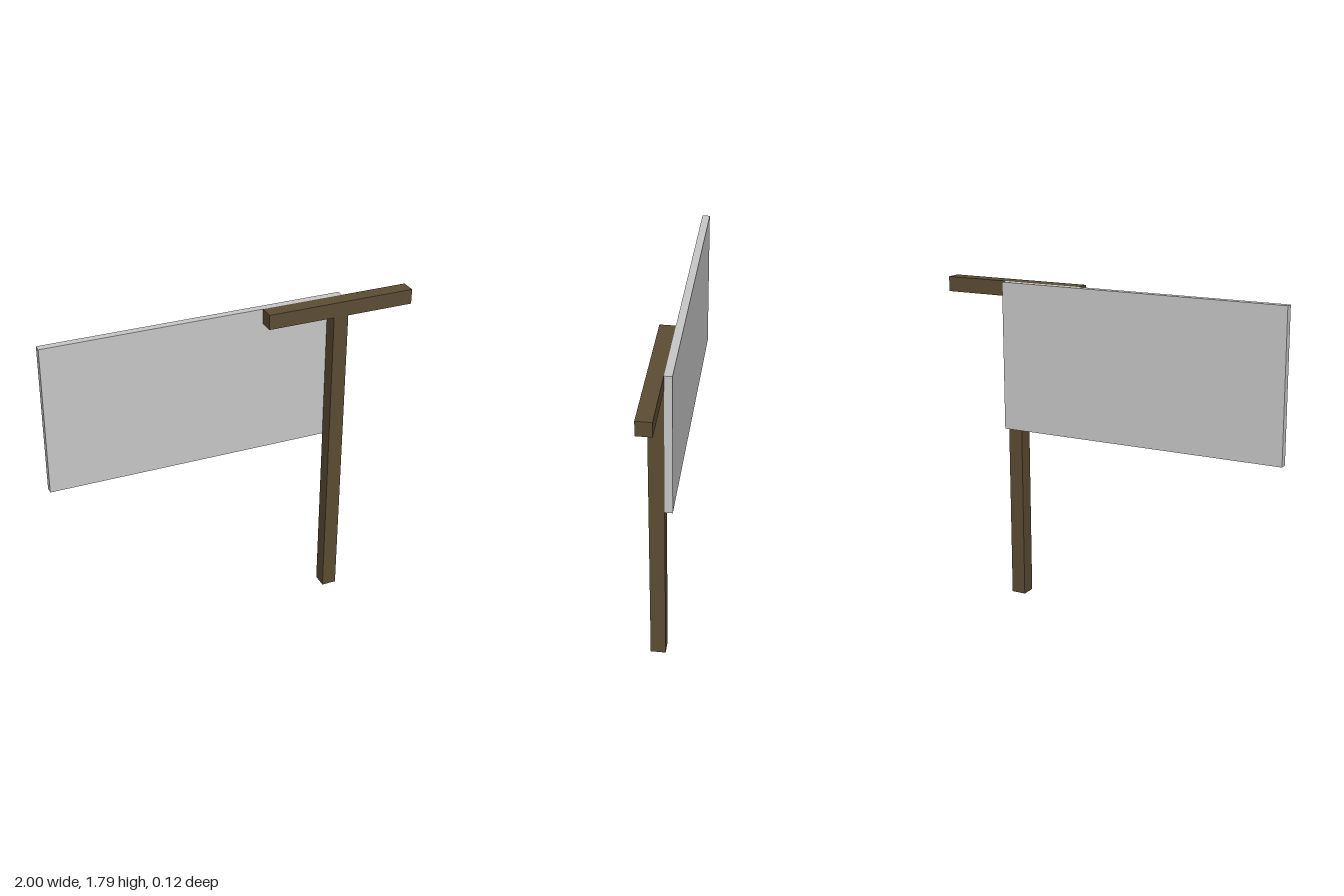
import * as THREE from 'three';

const wood = new THREE.MeshStandardMaterial({ color: 0x5c4d34 });
wood.name = 'darkWood';
const panel = new THREE.MeshStandardMaterial({ color: 0xc9c9c9 });
panel.name = 'lightGrey';

// Box given by its minimum and maximum corners
function box(name, material, min, max) {
  const size = max.map((v, i) => v - min[i]);
  const mesh = new THREE.Mesh(new THREE.BoxGeometry(...size), material);
  mesh.position.set(...min.map((v, i) => v + size[i] / 2));
  mesh.name = name;
  return mesh;
}

export function createModel() {
  const group = new THREE.Group();
  group.name = 'flagOnPost';

  const top = 1.793;
  const beam = 0.0815; // square timber thickness
  const back = -0.061, seam = -0.0205, front = 0.061;
  const postRight = 0.629;

  group.add(
    // Upright post
    box('post', wood, [postRight - beam, 0, seam], [postRight, top - beam, front]),
    // Horizontal bar on top of the post
    box('crossbar', wood, [0.181, top - beam, seam], [1, top, front]),
    // Flat panel fixed behind the post
    box('flagPanel', panel, [-1, 0.979, back], [postRight, top, seam]),
  );
  return group;
}
